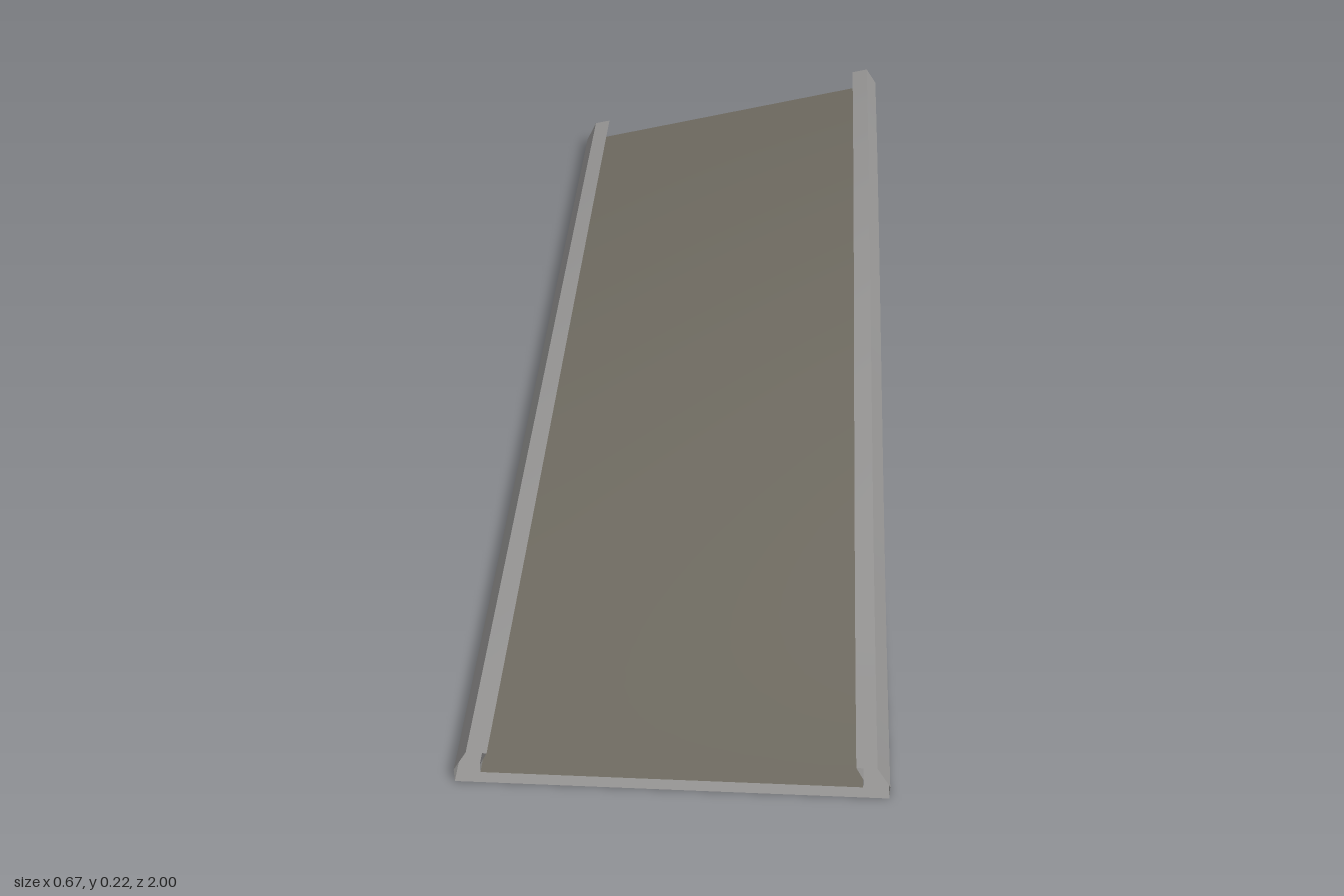
import * as THREE from 'three';
import { mergeGeometries } from 'three/addons/utils/BufferGeometryUtils.js';

const HALF = 0.333;   // half width
const BANK = 0.25;    // sideways slope at the back end
const STEPS = 48;

// Banking eases from flat at the front to full slope at the back
function place(x, y, z) {
  const t = (1 - z) / 2;
  return [x, y + BANK * (x + HALF) * t * t * (3 - 2 * t), z];
}

// One smooth strip swept along z from profile edge a to b
// (edges run counterclockwise seen from the front)
function strip(a, b, across = 1) {
  const pos = [], index = [], row = across + 1;
  for (let i = 0; i <= STEPS; i++) {
    const z = 1 - 2 * i / STEPS;
    for (let j = 0; j <= across; j++) {
      const k = j / across;
      pos.push(...place(a[0] + (b[0] - a[0]) * k, a[1] + (b[1] - a[1]) * k, z));
      if (i < STEPS && j < across) {
        const p = i * row + j, q = p + row;
        index.push(p, q, p + 1, p + 1, q, q + 1);
      }
    }
  }
  const g = new THREE.BufferGeometry();
  g.setAttribute('position', new THREE.Float32BufferAttribute(pos, 3));
  g.setIndex(index);
  g.computeVertexNormals();
  return g;
}

// Separate strips keep the long edges sharp
function sweep(points) {
  return mergeGeometries(points.slice(1).map((p, i) => strip(points[i], p)));
}

export function createModel() {
  const group = new THREE.Group();
  const railGrey = new THREE.MeshStandardMaterial({ color: 0x969594, side: THREE.DoubleSide });
  railGrey.name = 'railGrey';
  const deckGrey = new THREE.MeshStandardMaterial({ color: 0x706c62, side: THREE.DoubleSide });
  deckGrey.name = 'deckGrey';

  const add = (name, geometry, material) => {
    const mesh = new THREE.Mesh(geometry, material);
    mesh.name = name;
    group.add(mesh);
  };

  // Rail profile from outer foot, over the top, to the deck
  const rail = [
    [HALF, 0], [HALF, 0.025], [0.312, 0.063],
    [0.28, 0.063], [0.292, 0.038], [0.292, 0.022],
  ];
  const mirrored = rail.map(([x, y]) => [-x, y]).reverse();

  add('leftRail', sweep(rail), railGrey);
  add('rightRail', sweep(mirrored), railGrey);
  // Banked deck and underside; both ends stay open
  add('deck', strip(rail[5], mirrored[0], 8), deckGrey);
  add('underside', strip(mirrored[5], rail[0], 8), railGrey);
  return group;
}
